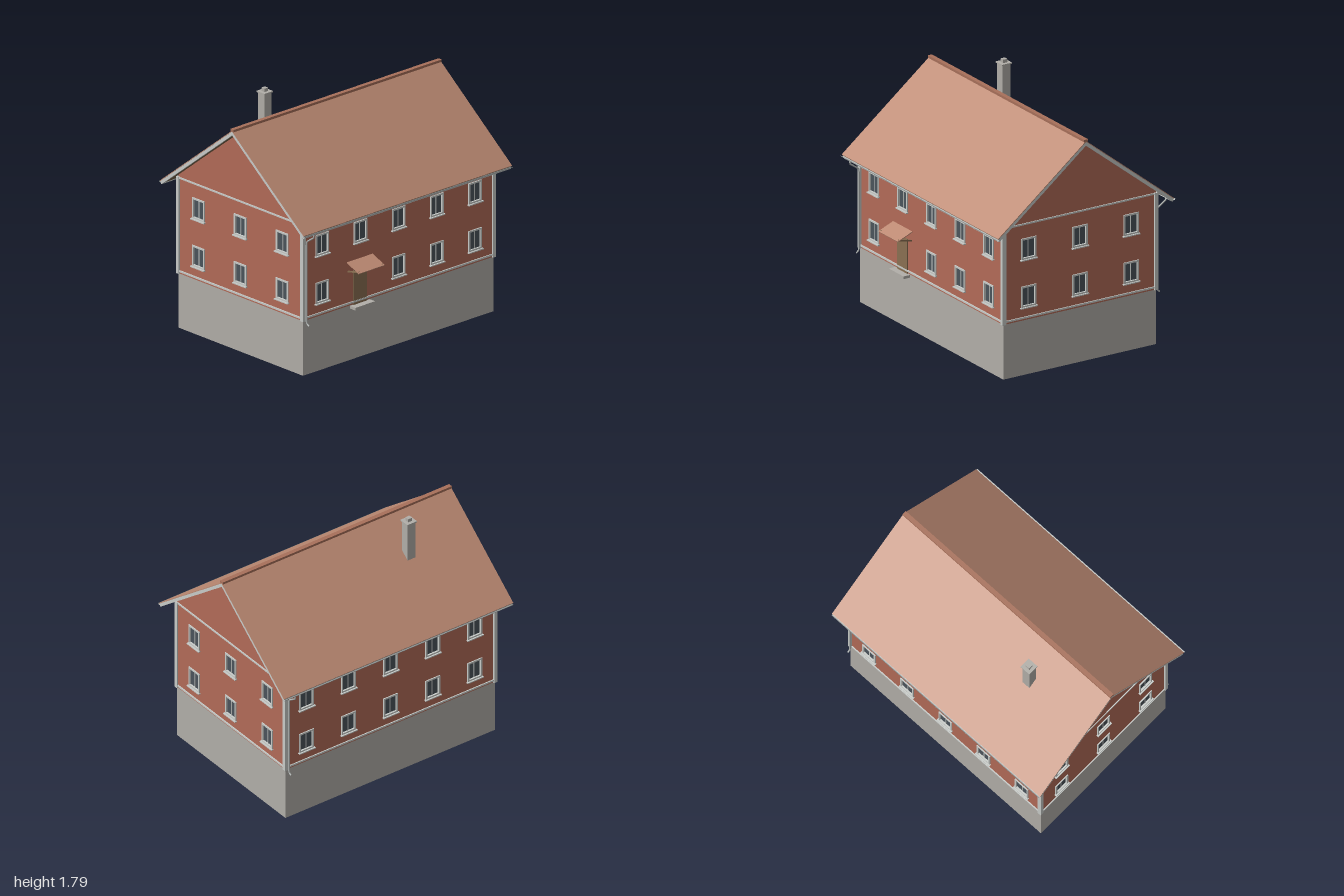
import * as THREE from 'three';

const mat = (name, color, side = THREE.FrontSide) => {
  const m = new THREE.MeshStandardMaterial({ color, side });
  m.name = name;
  return m;
};

export function createModel() {
  const M = {
    wall: mat('red wall', 0xb36b58),
    stone: mat('grey foundation', 0xb2afa9),
    roof: mat('clay roof', 0xbd8a73),
    ridge: mat('ridge clay', 0xa8705a),
    trim: mat('pale trim', 0xcacdca),
    glass: mat('dark glass', 0x4b545c),
    door: mat('brown wood', 0x8a7052),
    soffit: mat('soffit wood', 0x7d6548),
    pipe: mat('gutter metal', 0xb4b8b6, THREE.DoubleSide),
  };
  const root = new THREE.Group();
  root.name = 'house';
  const house = new THREE.Group();
  house.name = 'building';
  house.position.z = -0.008;
  root.add(house);

  const add = (parent, name, geo, material, x = 0, y = 0, z = 0) => {
    const m = new THREE.Mesh(geo, material);
    m.name = name;
    m.position.set(x, y, z);
    parent.add(m);
    return m;
  };
  const box = (parent, name, material, w, h, d, x, y, z) =>
    add(parent, name, new THREE.BoxGeometry(w, h, d), material, x, y, z);
  const poly = (pts) => new THREE.Shape(pts.map(([x, y]) => new THREE.Vector2(x, y)));
  const rect = (x, y, w, h) => [
    [x - w / 2, y - h / 2], [x + w / 2, y - h / 2], [x + w / 2, y + h / 2], [x - w / 2, y + h / 2]];
  const extrude = (shape, depth) => new THREE.ExtrudeGeometry(shape, { depth, bevelEnabled: false });

  const HX = 0.916, HZ = 0.64;            // half width and depth of the walls
  const BASE = 0.41, EAVE = 1.154, APEX = 1.652;
  const ROWS = [0.587, 0.946];            // window centre heights
  const WIN_W = 0.126, WIN_H = 0.158;

  // Window: frame, glass, mullion and sill, set into a wall whose face is z = 0
  const frameShape = poly(rect(0, 0, WIN_W, WIN_H));
  frameShape.holes.push(poly(rect(0, 0, WIN_W - 0.026, WIN_H - 0.026)));
  const frameGeo = extrude(frameShape, 0.022);
  function addWindow(parent, x, y) {
    const g = new THREE.Group();
    g.name = 'window';
    g.position.set(x, y, 0);
    parent.add(g);
    add(g, 'windowFrame', frameGeo, M.trim, 0, 0, -0.014);
    box(g, 'windowGlass', M.glass, WIN_W - 0.024, WIN_H - 0.024, 0.005, 0, 0, -0.008);
    box(g, 'windowMullion', M.trim, 0.007, WIN_H - 0.024, 0.009, 0, 0, -0.007);
    box(g, 'windowSill', M.trim, 0.14, 0.008, 0.022, 0, -WIN_H / 2 - 0.003, 0.008);
  }

  // One wall with cut window openings, its foundation and its trim bands
  function addSide(name, angle, half, dist, columns, gable, skip) {
    const g = new THREE.Group();
    g.name = name;
    g.rotation.y = angle;
    house.add(g);
    const face = new THREE.Group();
    face.name = 'wallFace';
    face.position.z = dist;
    g.add(face);
    const outline = [[-half, BASE], [half, BASE], [half, EAVE]];
    if (gable) outline.push([0, APEX]);
    outline.push([-half, EAVE]);
    const shape = poly(outline);
    for (const x of columns) for (const y of ROWS) {
      if (skip && skip(x, y)) continue;
      shape.holes.push(poly(rect(x, y, WIN_W - 0.006, WIN_H - 0.006)));
      addWindow(face, x, y);
    }
    add(face, 'wall', extrude(shape, 0.01), M.wall, 0, 0, -0.01);
    box(face, 'foundation', M.stone, half * 2, BASE, 0.01, 0, BASE / 2, -0.005);
    box(face, 'baseBand', M.trim, half * 2, 0.013, 0.024, 0, 0.43, -0.004);
    box(face, 'upperBand', M.trim, half * 2, 0.012, 0.012, 0, 1.132, 0.001);
    return face;
  }
  const longCols = [-2, -1, 0, 1, 2].map((i) => i * 0.367);
  const shortCols = [-0.43, 0, 0.43];
  const front = addSide('frontWall', 0, HX, HZ, longCols, false, (x, y) => x < -0.3 && x > -0.5 && y < 0.7);
  addSide('backWall', Math.PI, HX, HZ, longCols, false);
  addSide('leftWall', Math.PI / 2, HZ, HX, shortCols, true);
  addSide('rightWall', -Math.PI / 2, HZ, HX, shortCols, true);

  // Corner boards
  for (const sx of [-1, 1]) for (const sz of [-1, 1])
    box(house, 'cornerBoard', M.trim, 0.03, EAVE - BASE - 0.015, 0.03,
      sx * (HX - 0.003), (BASE + EAVE - 0.015) / 2, sz * (HZ - 0.002));

  // Entrance: door, step, sloping canopy on two struts
  box(front, 'door', M.door, 0.13, 0.262, 0.02, -0.37, 0.536, -0.004);
  box(front, 'doorStep', M.stone, 0.19, 0.02, 0.06, -0.37, 0.397, 0.026);
  const canopy = box(front, 'canopy', M.roof, 0.248, 0.006, 0.134, -0.37, 0.714, 0.061);
  canopy.rotation.x = Math.atan2(0.05, 0.122);
  for (const x of [-0.482, -0.258]) {
    const strut = box(front, 'canopyStrut', M.door, 0.01, 0.01, 0.118, x, 0.682, 0.055);
    strut.rotation.x = -0.22;
  }

  // Roof: chevron layers in the z-y plane, extruded along x
  const RZ = 0.735, SLOPE = 0.789, TOP = 1.685;
  function chevron(name, material, from, to, x0, x1, reach = RZ) {
    const a = TOP - from, b = TOP - to, drop = reach * SLOPE;
    const inset = reach - (to - from) * 0.35;
    const dropIn = inset * SLOPE;
    const shape = poly([[-reach, a - drop], [-inset, b - dropIn], [0, b],
      [inset, b - dropIn], [reach, a - drop], [0, a]]);
    const geo = extrude(shape, x1 - x0);
    geo.rotateY(Math.PI / 2);
    return add(house, name, geo, material, x0, 0, 0);
  }
  chevron('roofTiles', M.roof, 0, 0.007, -1, 1, RZ + 0.004);
  chevron('roofBoarding', M.soffit, 0.007, 0.03, -0.982, 0.982);
  chevron('bargeBoardRight', M.trim, 0.007, 0.036, -0.998, -0.98);
  chevron('bargeBoardLeft', M.trim, 0.007, 0.036, 0.98, 0.998);
  box(house, 'ridgeCap', M.ridge, 2, 0.018, 0.033, 0, 1.686, 0);

  // Gutters and the diagonally opposite downpipes
  for (const s of [-1, 1]) {
    box(house, 'fascia', M.trim, 1.99, 0.024, 0.01, 0, 1.089, s * 0.728);
    const half = new THREE.CylinderGeometry(0.011, 0.011, 1.996, 10, 1, true, 0, Math.PI);
    half.rotateZ(-Math.PI / 2);
    add(house, 'gutter', half, M.pipe, 0, 1.096, s * 0.738);
    const pts = [[1.085, 0.736], [1.06, 0.734], [1.012, 0.664], [0.99, 0.66], [0.41, 0.66], [0.395, 0.664], [0.382, 0.682]]
      .map(([y, z]) => new THREE.Vector3(-s * 0.9, y, s * z));
    const path = new THREE.CurvePath();
    for (let i = 1; i < pts.length; i++) path.add(new THREE.LineCurve3(pts[i - 1], pts[i]));
    add(house, 'downpipe', new THREE.TubeGeometry(path, 60, 0.006, 8), M.pipe);
  }

  // Chimney with cap slab and flue
  const chimney = new THREE.Group();
  chimney.name = 'chimney';
  chimney.position.set(-0.444, 0, -0.257);
  house.add(chimney);
  box(chimney, 'chimneyStack', M.stone, 0.068, 0.36, 0.068, 0, 1.578, 0);
  box(chimney, 'chimneyCap', M.stone, 0.084, 0.009, 0.084, 0, 1.76, 0);
  box(chimney, 'chimneyFlue', M.stone, 0.034, 0.026, 0.034, 0, 1.777, 0);

  return root;
}
